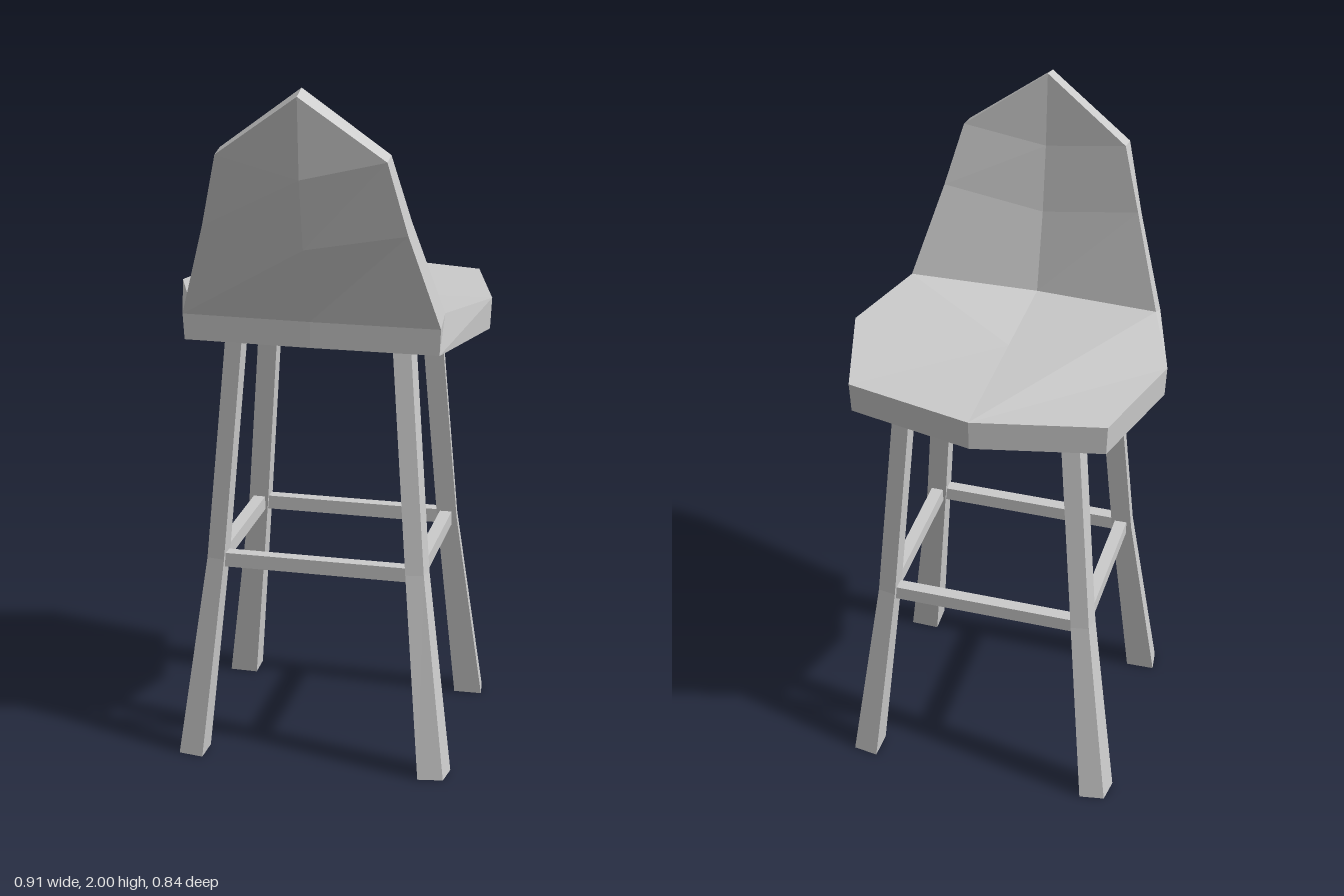
import * as THREE from 'three';

const material = new THREE.MeshStandardMaterial({ color: 0xcccccc, flatShading: true });

// Faceted mesh from polygons, each fanned from its first corner
function facetMesh(name, polygons) {
  const pos = [];
  for (const p of polygons) {
    for (let i = 1; i < p.length - 1; i++) {
      if (p[i] === p[i + 1]) continue;
      pos.push(...p[0], ...p[i], ...p[i + 1]);
    }
  }
  const geo = new THREE.BufferGeometry();
  geo.setAttribute('position', new THREE.Float32BufferAttribute(pos, 3));
  geo.computeVertexNormals();
  const mesh = new THREE.Mesh(geo, material);
  mesh.name = name;
  return mesh;
}

// Add the mirror image of every polygon across x = 0
function mirrored(polygons) {
  const other = polygons.map((poly) => {
    const flipped = new Map();
    const flip = (p) => {
      if (!flipped.has(p)) flipped.set(p, [-p[0], p[1], p[2]]);
      return flipped.get(p);
    };
    return poly.map(flip).reverse();
  });
  return [...polygons, ...other];
}

// Backrest rows, bottom to peak: front edge, front centre, rear edge, rear centre
const peakFront = [0, 2, 0.365];
const peakRear = [0, 1.985, 0.42];
const rows = [
  { fe: [0.365, 1.37, 0.22], fc: [0, 1.345, 0.27], re: [0.365, 1.34, 0.28], rc: [0, 1.34, 0.285] },
  { fe: [0.285, 1.64, 0.297], fc: [0, 1.58, 0.325], re: [0.285, 1.61, 0.345], rc: [0, 1.56, 0.36] },
  { fe: [0.235, 1.825, 0.333], fc: [0, 1.78, 0.352], re: [0.235, 1.815, 0.385], rc: [0, 1.76, 0.403] },
  { fe: peakFront, fc: peakFront, re: peakRear, rc: peakRear },
];

function makeBackrest() {
  const polys = [];
  for (let i = 0; i < rows.length - 1; i++) {
    const a = rows[i], b = rows[i + 1];
    polys.push([a.rc, a.re, b.re, b.rc]); // rear
    polys.push([a.fe, a.fc, b.fc, b.fe]); // front
    polys.push([a.re, a.fe, b.fe, b.re]); // side edge
  }
  return facetMesh('backrest', mirrored(polys));
}

function makeSeat() {
  const under = 1.265;
  const { fe, fc, re, rc } = rows[0];
  const centre = [0, 1.347, -0.025];
  const front = [0, 1.355, -0.42], corner = [0.365, 1.355, -0.34], side = [0.455, 1.355, -0.025];
  const [front2, corner2, side2, re2, rc2] = [front, corner, side, re, rc].map(
    ([x, , z]) => [x * 0.99, under, z * 0.99]);
  return facetMesh('seat', mirrored([
    [centre, fc, fe, side, corner, front],
    [front2, corner2, side2, re2, rc2],
    [corner2, front2, front, corner],
    [side2, corner2, corner, side],
    [re2, side2, side, fe, re],
    [rc2, re2, re, rc],
  ]));
}

// Splayed tapering leg; sx and sz pick the corner
const zMid = -0.032;
function makeLeg(name, sx, sz) {
  // height, x and z distance from the middle, half width
  const rings = [[0, 0.362, 0.307, 0.042], [0.6, 0.295, 0.248, 0.03], [1.28, 0.242, 0.206, 0.029]]
    .map(([y, x, z, h]) => [[-1, -1], [-0.95, 1], [0.78, 0.72], [1, -0.95]].map(
      ([u, v]) => [sx * (x + u * h), y, zMid + sz * (z + v * h)]));
  const polys = [[...rings[0]].reverse(), rings[2]];
  for (let i = 0; i < 2; i++) {
    for (let k = 0; k < 4; k++) {
      const n = (k + 1) % 4;
      polys.push([rings[i][k], rings[i][n], rings[i + 1][n], rings[i + 1][k]]);
    }
  }
  if (sx * sz < 0) polys.forEach((p) => p.reverse());
  return facetMesh(name, polys);
}

function makeBar(name, w, d, x, z) {
  const bar = new THREE.Mesh(new THREE.BoxGeometry(w, 0.042, d), material);
  bar.position.set(x, 0.595, z);
  bar.name = name;
  return bar;
}

export function createModel() {
  const group = new THREE.Group();
  group.name = 'barStool';
  group.add(makeSeat(), makeBackrest());
  for (const s of [-1, 1]) {
    const sideName = s > 0 ? 'left' : 'right';
    group.add(makeLeg(sideName + 'BackrestLeg', s, 1), makeLeg(sideName + 'OpenSideLeg', s, -1));
    // footrest bars between the legs
    group.add(makeBar(sideName + 'Footrest', 0.036, 0.48, s * 0.292, zMid));
    group.add(makeBar(s > 0 ? 'backrestSideFootrest' : 'openSideFootrest', 0.57, 0.036, 0, zMid + s * 0.246));
  }
  return group;
}
